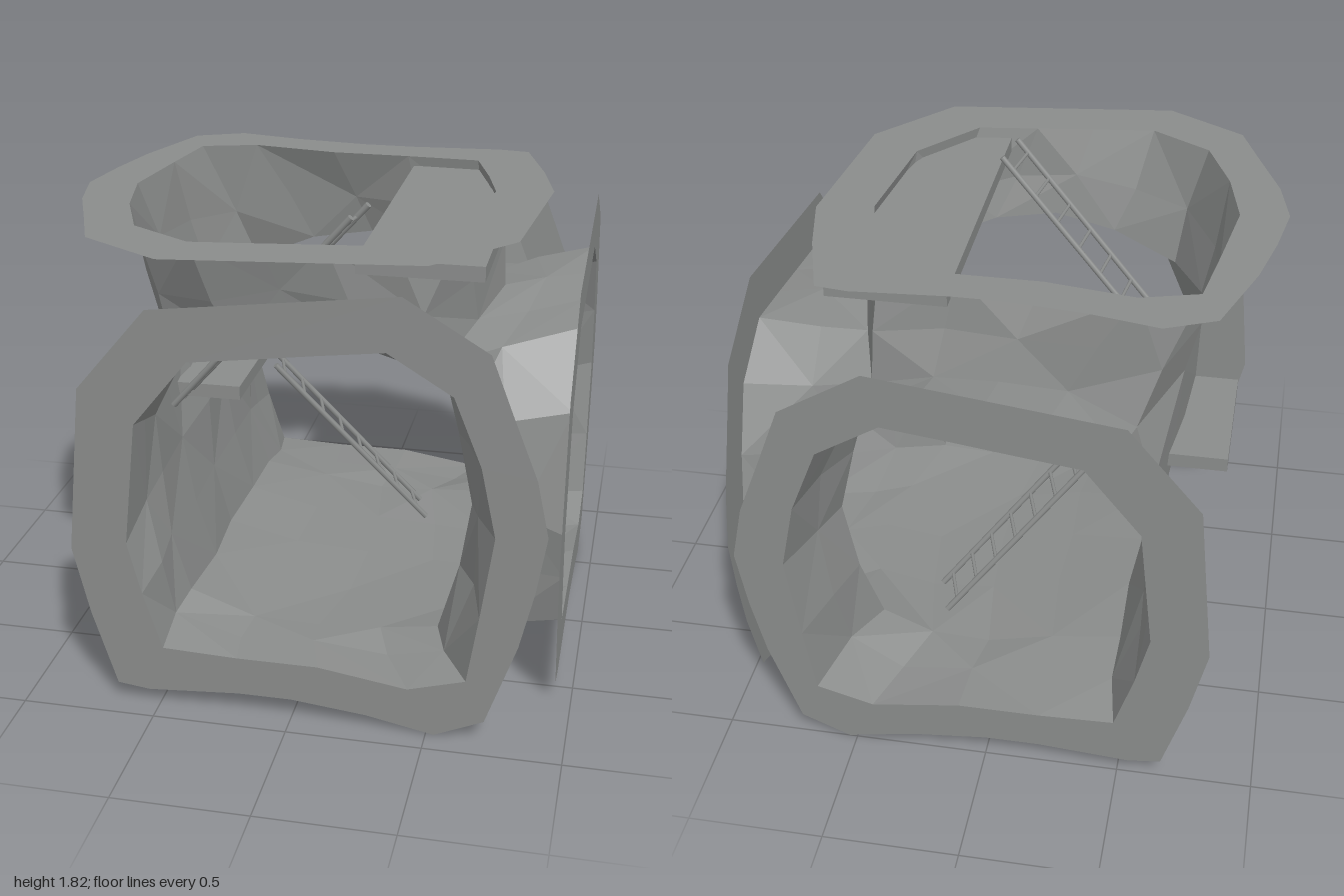
import * as THREE from 'three';

const rock = new THREE.MeshStandardMaterial({ color: 0x8a8c8b, side: THREE.DoubleSide });
rock.name = 'grey rock';

const SEG = 4; // points per side of a tunnel mouth

// Mouth profile: four points per side, from the lower left corner, counterclockwise
const INNER = [
  [-0.48, 0.24], [-0.2, 0.23], [0.1, 0.23], [0.43, 0.18],
  [0.64, 0.24], [0.68, 0.5], [0.725, 0.82], [0.67, 1.08],
  [0.57, 1.33], [0.34, 1.47], [0.1, 1.44], [-0.12, 1.41],
  [-0.35, 1.38], [-0.55, 1.13], [-0.6, 0.66], [-0.55, 0.46],
];
const OUTER = [
  [-0.66, 0.07], [-0.54, 0.055], [-0.2, 0.08], [0, 0.08], [0.28, 0.05], [0.53, 0],
  [0.71, 0.08], [0.82, 0.4], [0.87, 0.62], [0.905, 0.84], [0.86, 1.05], [0.77, 1.28],
  [0.69, 1.49], [0.39, 1.67], [-0.49, 1.56], [-0.75, 1.25], [-0.81, 0.62], [-0.75, 0.36],
];

// Where each mouth stands, and which corners of the chamber it joins
const MOUTHS = {
  front: { place: (u, v) => [u, v, 0.91], signs: (u, v) => [u, v, 1] },
  back: { place: (u, v) => [u, v, -1], signs: (u, v) => [u, v, -1] },
  side: { place: (u, v) => [0.94, v * 0.99 + 0.012, -u - 0.055], signs: (u, v) => [1, v, -u] },
  top: { place: (u, v) => [-u * 1.01 - 0.025, 1.77, v * 1.015 - 0.705], signs: (u, v) => [-u, 1, v] },
};

// Chamber corners, and the middles of its edges (0 marks the axis along the edge)
const CHAMBER = {
  '-1,-1,1': [-0.45, 0.31, 0.6], '-1,-1,-1': [-0.45, 0.31, -0.6],
  '1,-1,1': [0.49, 0.26, 0.56], '1,-1,-1': [0.49, 0.26, -0.58],
  '-1,1,1': [-0.5, 1.28, 0.6], '-1,1,-1': [-0.48, 1.28, -0.56],
  '1,1,1': [0.48, 1.32, 0.57], '1,1,-1': [0.48, 1.32, -0.55],
  '-1,-1,0': [-0.46, 0.31, 0], '1,-1,0': [0.62, 0.21, 0],
  '-1,1,0': [-0.66, 1.34, 0.05], '1,1,0': [0.62, 1.41, 0],
  '0,-1,1': [0.05, 0.225, 0.62], '0,-1,-1': [0.05, 0.225, -0.62],
  '0,1,1': [0, 1.42, 0.68], '0,1,-1': [0, 1.42, -0.57],
  '-1,0,1': [-0.56, 0.8, 0.62], '-1,0,-1': [-0.56, 0.8, -0.62],
  '1,0,1': [0.6, 0.8, 0.62], '1,0,-1': [0.6, 0.8, -0.62],
};

// Smooth uneven offset that depends on position only, so shared edges stay closed
function rough([x, y, z], amount) {
  return [
    x + amount * Math.sin(9 * y + 11 * z + 1),
    y + amount * 0.6 * Math.sin(10 * x + 8 * z + 2),
    z + amount * Math.sin(9 * x + 12 * y),
  ];
}

const lerp = (a, b, t) => a.map((n, i) => n + (b[i] - n) * t);

// Point on a bowed edge of the central chamber
function edgePoint(a, b, t) {
  const from = CHAMBER[a.join()], to = CHAMBER[b.join()];
  const middle = CHAMBER[a.map((n, i) => (n + b[i]) / 2).join()];
  const straight = lerp(from, to, 0.5);
  const bow = Math.sin(Math.PI * t);
  return rough(lerp(from, to, t).map((n, i) => n + (middle[i] - straight[i]) * bow), 0.014);
}

// Faceted surface through rows of points
function facets(rows) {
  const pos = [];
  for (let r = 0; r < rows.length - 1; r++) {
    for (let c = 0; c < rows[r].length - 1; c++) {
      const a = rows[r][c], b = rows[r][c + 1], d = rows[r + 1][c], e = rows[r + 1][c + 1];
      const quad = (r + c) % 2 ? [a, b, e, a, e, d] : [a, b, d, b, e, d];
      quad.forEach((p) => pos.push(...p));
    }
  }
  const g = new THREE.BufferGeometry();
  g.setAttribute('position', new THREE.Float32BufferAttribute(pos, 3));
  g.computeVertexNormals();
  return g;
}

function add(parent, name, geometry) {
  const mesh = new THREE.Mesh(geometry, rock);
  mesh.name = name;
  parent.add(mesh);
  return mesh;
}

// Flat flange around a mouth
function flange({ place }) {
  const shape = new THREE.Shape(OUTER.map((p) => new THREE.Vector2(...p)));
  shape.holes.push(new THREE.Path(INNER.map((p) => new THREE.Vector2(...p))));
  const g = new THREE.ShapeGeometry(shape);
  const pos = g.attributes.position;
  for (let i = 0; i < pos.count; i++) pos.setXYZ(i, ...place(pos.getX(i), pos.getY(i)));
  g.computeVertexNormals();
  return g;
}

const square = (signs) => [[-1, -1], [1, -1], [1, 1], [-1, 1]].map((s) => signs(...s));

// Short tunnel from a mouth to the chamber
function tunnel({ place, signs }) {
  const corners = square(signs);
  const rim = INNER.map((p) => place(...p));
  const throat = rim.map((_, i) => {
    const k = Math.floor(i / SEG);
    return edgePoint(corners[k], corners[(k + 1) % 4], (i % SEG) / SEG);
  });
  const middle = rim.map((p, i) => rough(lerp(p, throat[i], 0.55), 0.02));
  return facets([rim, middle, throat].map((loop) => [...loop, loop[0]]));
}

// Closed chamber face: blends its four bowed edges, then shifts the middle
function wall(signs, shift) {
  const [a, b, c, d] = square(signs);
  const [A, B, C, D] = [[a, b], [b, c], [c, d], [d, a]].map(([p, q]) => edgePoint(p, q, 0));
  const rows = [];
  for (let j = 0; j <= SEG; j++) {
    const row = [], t = j / SEG;
    for (let i = 0; i <= SEG; i++) {
      const s = i / SEG;
      const across = lerp(edgePoint(a, d, t), edgePoint(b, c, t), s);
      const up = lerp(edgePoint(a, b, s), edgePoint(d, c, s), t);
      const flat = lerp(lerp(A, B, s), lerp(D, C, s), t);
      const inside = 16 * s * (1 - s) * t * (1 - t);
      const p = flat.map((n, k) => across[k] + up[k] - n + shift[k] * inside);
      row.push(rough(p, 0.02 * inside));
    }
    rows.push(row);
  }
  return facets(rows);
}

function bar(parent, name, from, to, radius) {
  const a = new THREE.Vector3(...from), b = new THREE.Vector3(...to);
  const mesh = add(parent, name, new THREE.CylinderGeometry(radius, radius, a.distanceTo(b), 8));
  mesh.position.copy(a).lerp(b, 0.5);
  mesh.quaternion.setFromUnitVectors(new THREE.Vector3(0, 1, 0), b.sub(a).normalize());
}

// Ladder between two rails, each given as [foot, head]
function ladder(parent, name, railA, railB, rungs) {
  const g = new THREE.Group();
  g.name = name;
  [railA, railB].forEach((r) => bar(g, 'rail', r[0], r[1], 0.012));
  for (let i = 0; i < rungs; i++) {
    const t = (i + 0.5) / rungs;
    bar(g, 'rung', lerp(...railA, t), lerp(...railB, t), 0.007);
  }
  parent.add(g);
}

// Box given by its lowest and highest corners
function block(parent, name, lo, hi) {
  const mesh = add(parent, name, new THREE.BoxGeometry(...hi.map((n, i) => n - lo[i])));
  mesh.position.set(...lerp(lo, hi, 0.5));
}

export function createModel() {
  const model = new THREE.Group();
  model.name = 'caveJunction';

  // Tunnels and their flanges
  for (const [name, mouth] of Object.entries(MOUTHS)) {
    add(model, name + 'Tunnel', tunnel(mouth));
    add(model, name + 'Flange', flange(mouth));
  }

  // Closed sides of the chamber
  add(model, 'closedWall', wall((u, v) => [-1, v, u], [0.07, 0, 0]));
  add(model, 'floor', wall((u, v) => [u, -1, -v], [0, 0.02, 0]));

  // Landings
  block(model, 'upperLanding', [0.2, 1.675, -0.54], [0.64, 1.73, 0.73]);
  block(model, 'lowerLanding', [-0.8, 0.945, -0.34], [-0.36, 1.0, 0.2]);
  block(model, 'landingPeg', [-0.49, 0.905, -0.08], [-0.455, 0.945, -0.04]);
  bar(model, 'landingStrut', [-0.53, 1.01, 0.2], [-0.53, 1.015, 0.38], 0.008);

  // Ladders
  ladder(model, 'lowerLadder',
    [[0.25, 0.24, -0.49], [-0.345, 0.97, -0.285]],
    [[0.3, 0.24, -0.335], [-0.295, 0.97, -0.12]], 8);
  ladder(model, 'upperLadder',
    [[-0.53, 1.01, 0.27], [0.175, 1.81, 0.365]],
    [[-0.55, 1.01, 0.44], [0.145, 1.81, 0.53]], 8);

  return model;
}
